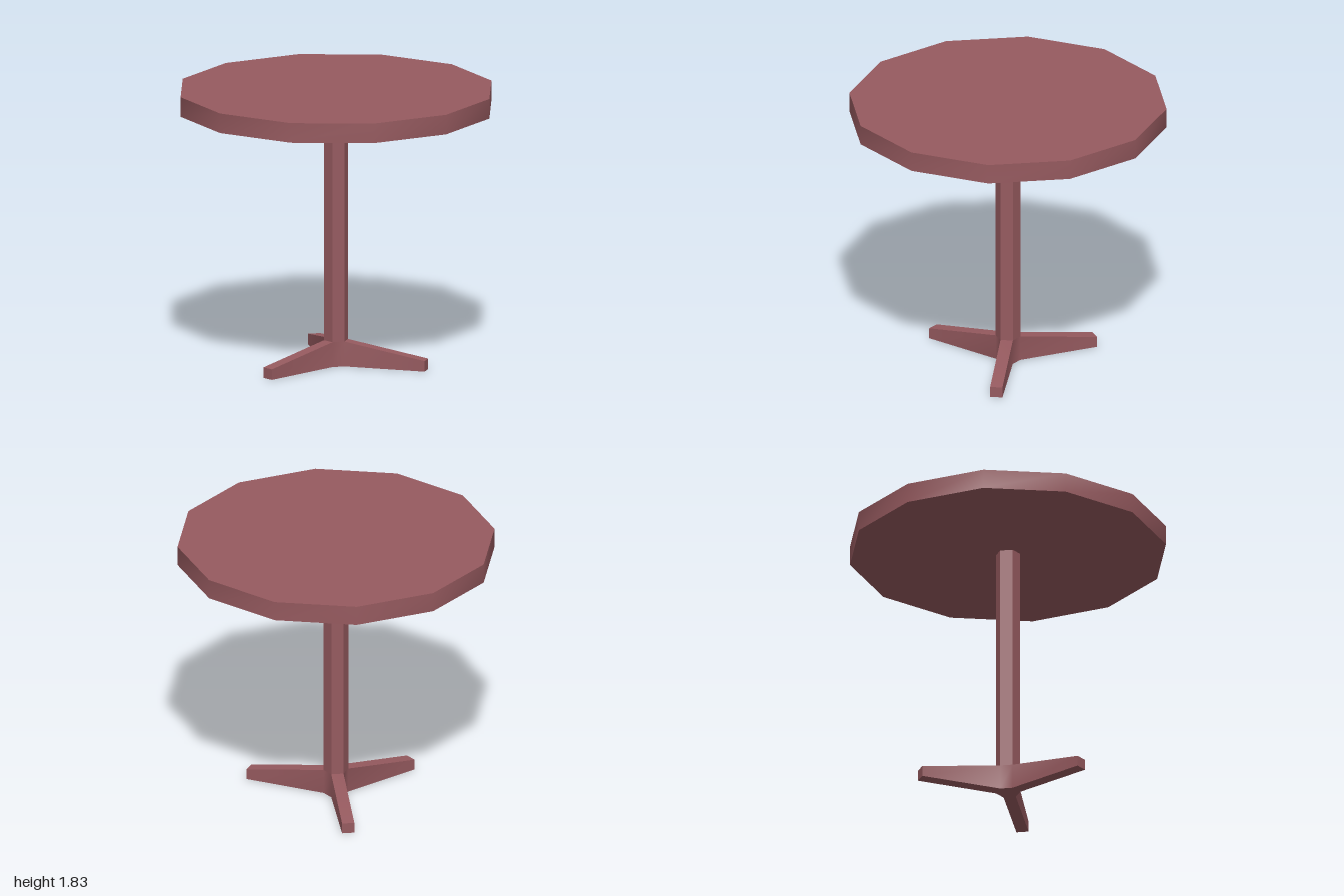
import * as THREE from 'three';
import { mergeGeometries, toCreasedNormals } from 'three/addons/utils/BufferGeometryUtils.js';

const POST_R = 0.08, APOTHEM = POST_R * Math.cos(Math.PI / 6);
const LEG_END = 0.61, HUB_H = 0.165, TIP_H = 0.07, TOP_Y = 1.70, TOP_H = 0.13;

// Six-sided column standing from y0 to y1
function hexColumn(y0, y1) {
  return new THREE.CylinderGeometry(POST_R, POST_R, y1 - y0, 6, 1, false, Math.PI / 4)
    .translate(0, (y0 + y1) / 2, 0);
}

// Leg that leaves one face of the hub and slopes down to its tip
function legGeometry(angle) {
  const length = LEG_END - APOTHEM;
  const g = new THREE.BoxGeometry(length, HUB_H, POST_R)
    .translate(APOTHEM + length / 2, HUB_H / 2, 0);
  const p = g.attributes.position;
  for (let i = 0; i < p.count; i++) {
    if (p.getX(i) > LEG_END - 0.01 && p.getY(i) > 0.01) p.setY(i, TIP_H);
  }
  return g.rotateY(-angle);
}

export function createModel() {
  const model = new THREE.Group();
  model.name = 'roundTable';
  const wood = new THREE.MeshStandardMaterial({ color: 0x965a5f });
  wood.name = 'reddishWood';

  const add = (name, geometry) => {
    const mesh = new THREE.Mesh(toCreasedNormals(geometry, THREE.MathUtils.degToRad(40)), wood);
    mesh.name = name;
    model.add(mesh);
  };

  // Twelve-sided top
  add('tableTop', new THREE.CylinderGeometry(1.035, 1.035, TOP_H, 12, 1, false, Math.PI / 12)
    .translate(0, TOP_Y + TOP_H / 2, 0));

  // Central post
  add('post', hexColumn(HUB_H, TOP_Y));

  // Hub with three legs, softly shaded where they meet
  const legs = [15, 135, 255].map((deg) => legGeometry(THREE.MathUtils.degToRad(deg)));
  add('tripodBase', mergeGeometries([hexColumn(0, HUB_H), ...legs]));

  return model;
}
